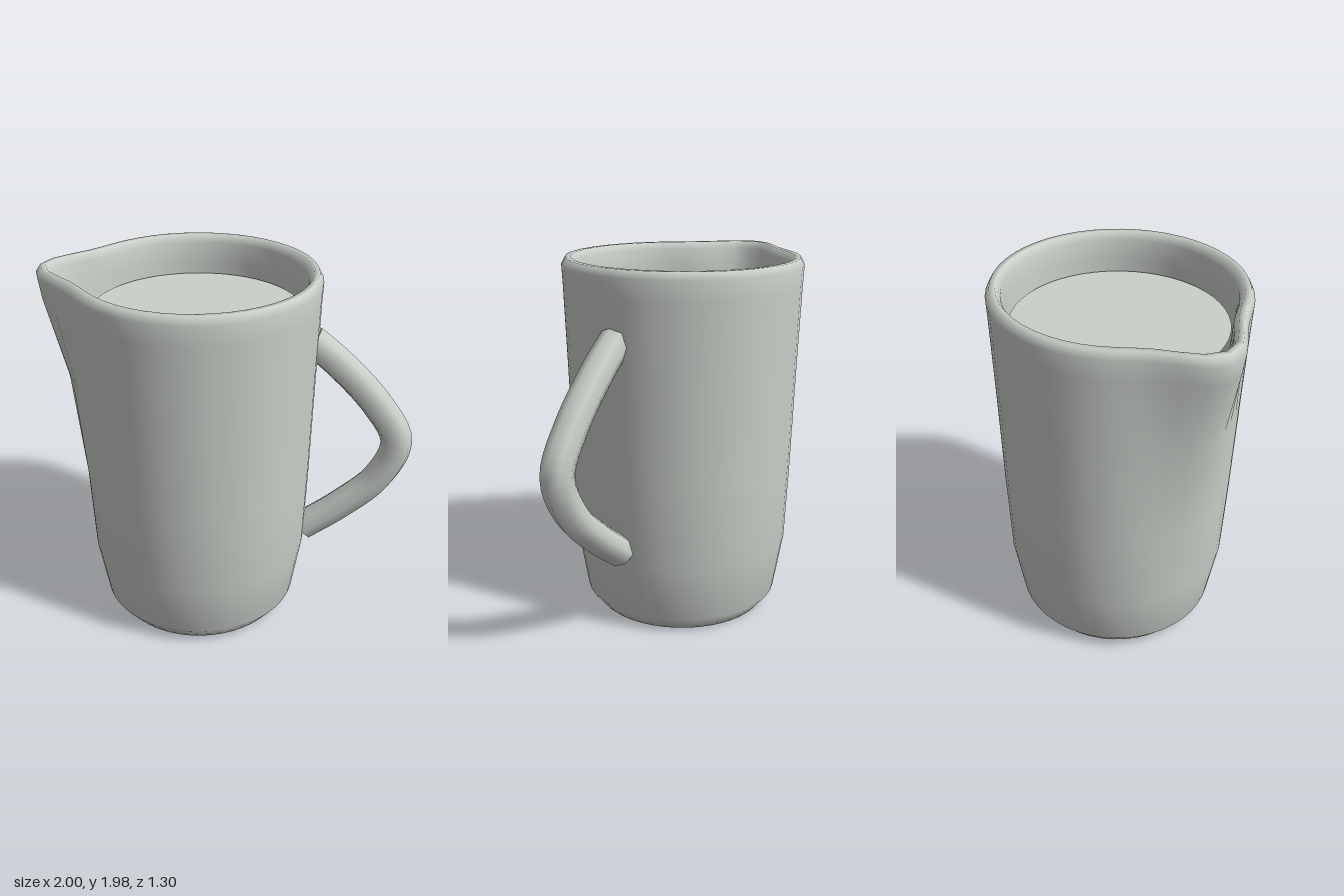
import * as THREE from 'three';
import { mergeVertices } from 'three/addons/utils/BufferGeometryUtils.js';

const AXIS_X = -0.17; // centre line of the round body

// Jug wall: [radius, height, spout reach], from the base up the outside, over the rim and down the inside
const WALL = [
  [0, 0, 0], [0.485, 0, 0], [0.548, 0.08, 0], [0.6, 0.4, 0], [0.617, 0.85, 0],
  [0.632, 1.4, 0.058], [0.646, 1.83, 0.168], [0.651, 1.94, 0.18], [0.63, 1.98, 0.175],
  [0.6, 1.98, 0.175], [0.577, 1.94, 0.172], [0.572, 1.83, 0.16], [0.562, 1.4, 0.058],
  [0.55, 0.85, 0], [0.535, 0.4, 0], [0.47, 0.1, 0], [0, 0.08, 0],
];

function wallGeometry() {
  const geo = new THREE.LatheGeometry(WALL.map(([r, y]) => new THREE.Vector2(r, y)), 48);
  const pos = geo.attributes.position;
  // Pull the wall out towards -x to form the spout
  for (let i = 0; i < pos.count; i++) {
    const reach = WALL[i % WALL.length][2];
    if (!reach) continue;
    const x = pos.getX(i), z = pos.getZ(i), r = Math.hypot(x, z);
    const angle = Math.atan2(z, -x) / 0.297;
    const k = 1 + (reach * Math.exp(-angle * angle)) / r;
    pos.setX(i, x * k);
    pos.setZ(i, z * k);
  }
  // Join the seam so the shading is smooth all round
  geo.deleteAttribute('uv');
  geo.deleteAttribute('normal');
  const joined = mergeVertices(geo, 1e-4);
  joined.computeVertexNormals();
  return joined;
}

export function createModel() {
  const group = new THREE.Group();
  group.name = 'jug';
  const glaze = new THREE.MeshStandardMaterial({ color: 0xcbd0ca });
  glaze.name = 'pale grey glaze';

  const add = (name, geo, parent = group) => {
    const mesh = new THREE.Mesh(geo, glaze);
    mesh.name = name;
    parent.add(mesh);
    return mesh;
  };

  add('body', wallGeometry()).position.x = AXIS_X;

  // Flat round surface of the contents, just below the rim
  const fill = add('contents', new THREE.CircleGeometry(0.552, 48).rotateX(-Math.PI / 2));
  fill.position.set(AXIS_X, 1.77, 0);

  // Bowed handle, an eight-sided tube with flat ends
  const handle = new THREE.Group();
  handle.name = 'handle';
  group.add(handle);
  const path = new THREE.CatmullRomCurve3([
    [0.43, 1.625], [0.575, 1.505], [0.795, 1.27], [0.915, 1.05],
    [0.825, 0.82], [0.63, 0.626], [0.43, 0.47],
  ].map(([x, y]) => new THREE.Vector3(x, y, 0)));
  add('handleBar', new THREE.TubeGeometry(path, 32, 0.085, 8), handle);
  for (const [name, t, side] of [['handleTopEnd', 0, -1], ['handleBottomEnd', 1, 1]]) {
    const cap = add(name, new THREE.CircleGeometry(0.085, 8), handle);
    cap.position.copy(path.getPointAt(t));
    cap.lookAt(cap.position.clone().addScaledVector(path.getTangentAt(t), side));
  }
  return group;
}
